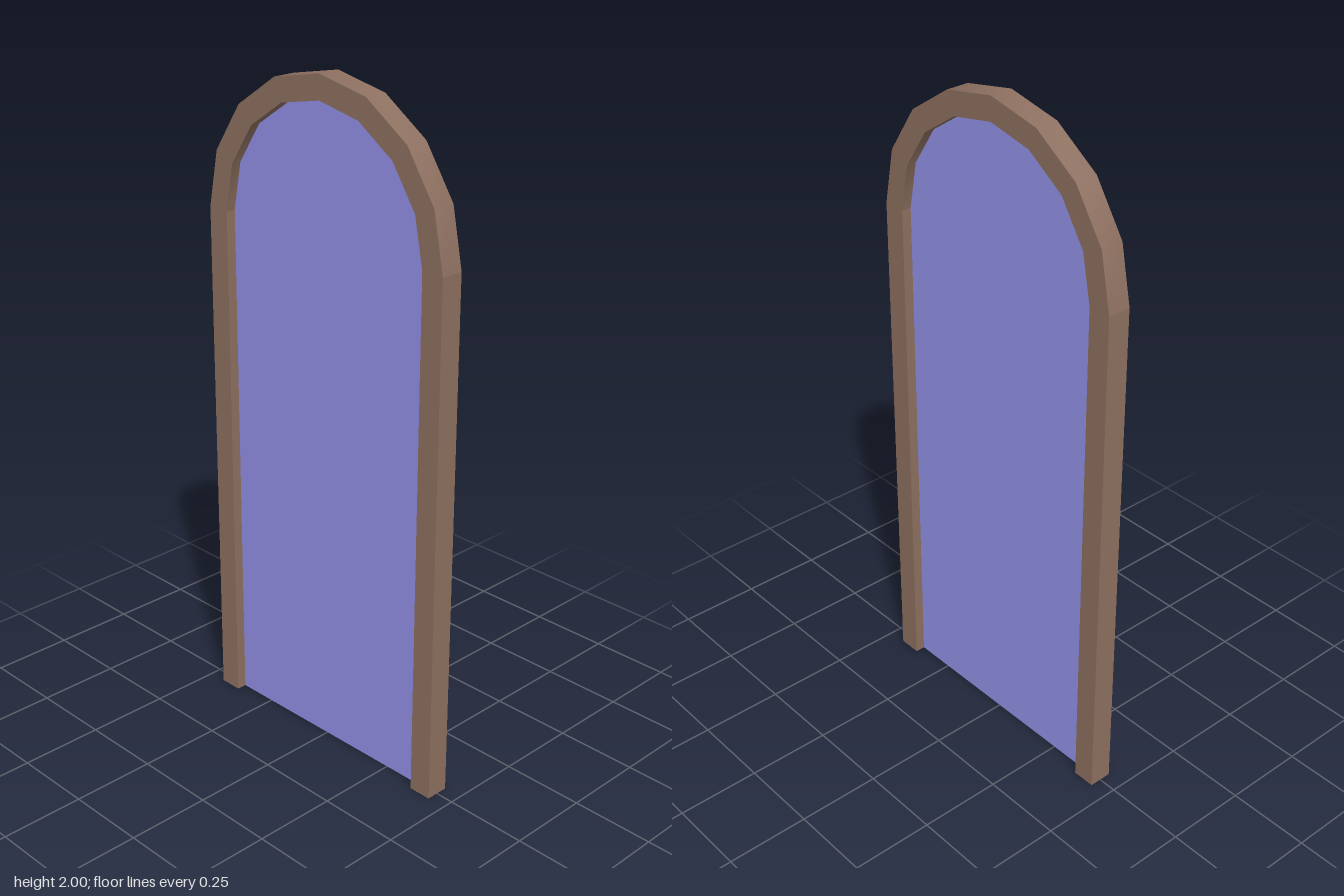
import * as THREE from 'three';
import { toCreasedNormals } from 'three/addons/utils/BufferGeometryUtils.js';

const OUTER = 0.443, INNER = 0.373; // arch radii
const SPRING = 1.557;               // height where the arch starts
const HALF = 0.035;                 // half depth of the frame
const PANE = 0.01;                  // pane thickness
const SEGMENTS = 8;

export function createModel() {
  const group = new THREE.Group();
  const frameBrown = new THREE.MeshStandardMaterial({ name: 'frameBrown', color: 0x8d7060 });
  const paneViolet = new THREE.MeshStandardMaterial({ name: 'paneViolet', color: 0x9492e9 });

  const add = (name, geometry, material) => {
    const mesh = new THREE.Mesh(geometry, material);
    mesh.name = name;
    group.add(mesh);
    return mesh;
  };

  // Arch: rectangular section swept half a turn about the x axis
  const section = [
    [INNER, -HALF], [OUTER, -HALF], [OUTER, HALF], [INNER, HALF], [INNER, -HALF],
  ].map(([r, d]) => new THREE.Vector2(r, d));
  const arch = new THREE.LatheGeometry(section, SEGMENTS, 0, Math.PI);
  arch.rotateZ(Math.PI / 2);
  add('arch', toCreasedNormals(arch, 0.5), frameBrown).position.y = SPRING;

  // Upright posts under both ends of the arch
  for (const side of [1, -1]) {
    const post = new THREE.BoxGeometry(HALF * 2, SPRING, OUTER - INNER);
    add(side > 0 ? 'frontPost' : 'backPost', post, frameBrown)
      .position.set(0, SPRING / 2, side * (OUTER + INNER) / 2);
  }

  // Thin pane filling the opening
  const outline = [new THREE.Vector2(-INNER, 0), new THREE.Vector2(INNER, 0)];
  for (let i = 0; i <= SEGMENTS; i++) {
    const a = (i / SEGMENTS) * Math.PI;
    outline.push(new THREE.Vector2(INNER * Math.cos(a), SPRING + INNER * Math.sin(a)));
  }
  const pane = new THREE.ExtrudeGeometry(new THREE.Shape(outline), { depth: PANE, bevelEnabled: false });
  pane.translate(0, 0, -PANE / 2);
  pane.rotateY(-Math.PI / 2);
  add('pane', pane, paneViolet);

  return group;
}
